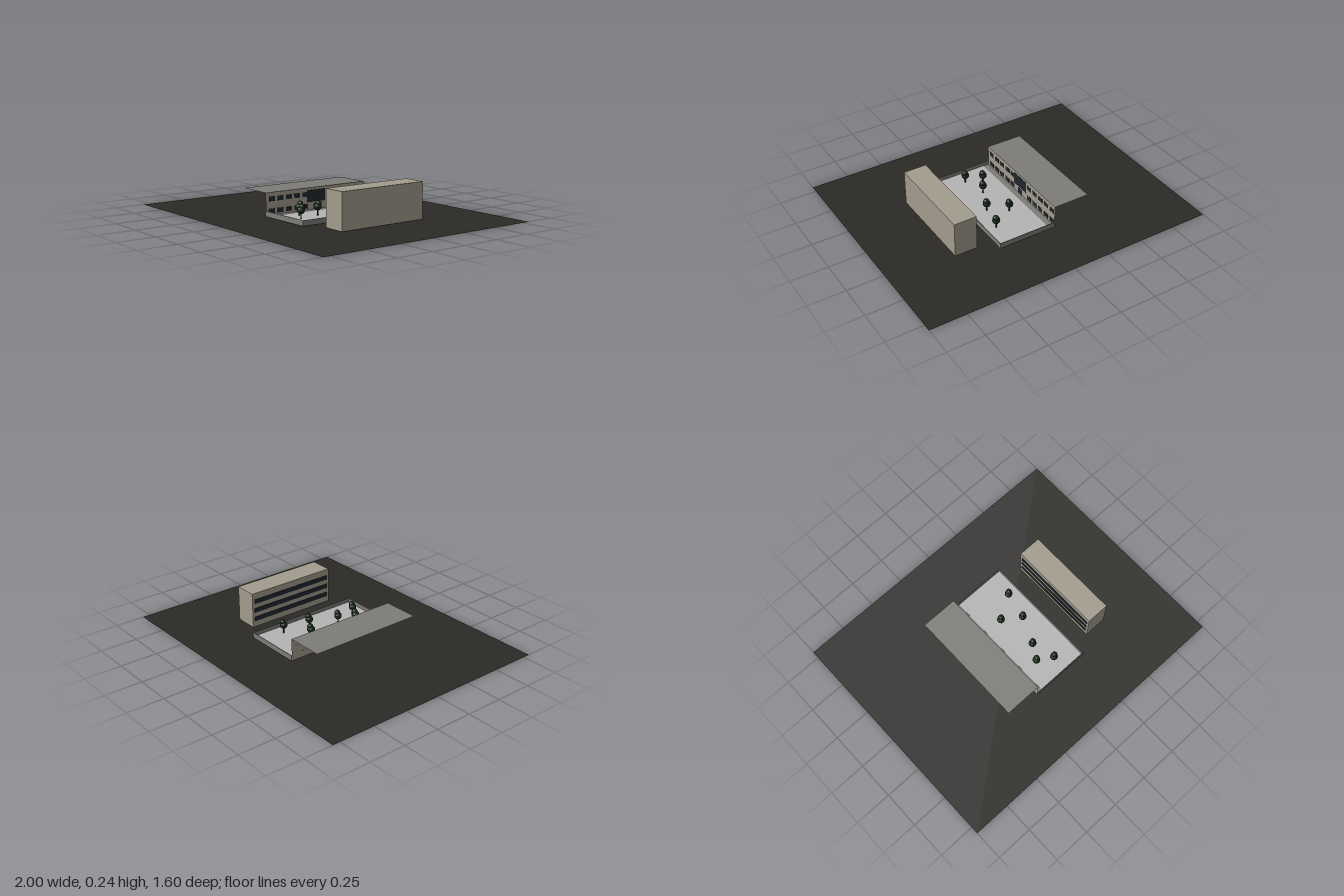
import * as THREE from 'three';

const mat = (color, extra = {}) => new THREE.MeshStandardMaterial({ color, ...extra });
const two = { side: THREE.DoubleSide };
const M = {
  ground: mat(0x2b2a26, two),
  concrete: mat(0x7d7c78, two),
  paving: mat(0xb4b4b4, two),
  stone: mat(0xa29c8c, two),
  glass: mat(0x20262e),
  trunk: mat(0x2a2119),
  leaf: mat(0x1a2b1a, { flatShading: true }),
};

function add(parent, name, geometry, material, x, y, z) {
  const m = new THREE.Mesh(geometry, material);
  m.name = name;
  m.position.set(x, y, z);
  parent.add(m);
  return m;
}

// box given by its min and max on each axis
function box(parent, name, material, [x0, x1], [y0, y1], [z0, z1]) {
  return add(parent, name, new THREE.BoxGeometry(x1 - x0, y1 - y0, z1 - z0), material,
    (x0 + x1) / 2, (y0 + y1) / 2, (z0 + z1) / 2);
}

function group(parent, name) {
  const g = new THREE.Group();
  g.name = name;
  parent.add(g);
  return g;
}

export function createModel() {
  const root = new THREE.Group();
  root.name = 'cityBlock';

  // flat ground
  add(root, 'ground', new THREE.PlaneGeometry(2, 1.6).rotateX(-Math.PI / 2), M.ground, 0, 0, 0);

  // sunken court: paving, walkway strip and low thin walls
  const court = group(root, 'court');
  box(court, 'walkway', M.concrete, [-0.12, -0.08], [0.004, 0.01], [-0.4, 0.4]);
  box(court, 'paving', M.paving, [-0.08, 0.28], [0.004, 0.012], [-0.4, 0.4]);
  for (const s of [-1, 1]) {
    const z = [s * 0.4, s * 0.404].sort((a, b) => a - b);
    box(court, 'sideWall', M.concrete, [-0.12, 0.284], [0.004, 0.04], z);
  }
  box(court, 'endWall', M.concrete, [0.28, 0.284], [0.004, 0.04], [-0.4, 0.4]);

  // thin facade with a flat roof running back from it
  const hall = group(root, 'hall');
  add(hall, 'facade', new THREE.PlaneGeometry(0.8, 0.153).rotateY(Math.PI / 2), M.stone, -0.12, 0.0785, 0);
  add(hall, 'roof', new THREE.PlaneGeometry(0.25, 0.8).rotateX(-Math.PI / 2), M.concrete, -0.245, 0.155, 0);
  for (let i = 0; i < 12; i++) {
    const z = 0.352 - i * 0.0655;
    if (Math.abs(z) < 0.08) continue;
    for (const y of [0.035, 0.113]) {
      box(hall, 'window', M.glass, [-0.12, -0.118], [y - 0.015, y + 0.015], [z - 0.0225, z + 0.0225]);
    }
  }
  box(hall, 'entranceGlazing', M.glass, [-0.12, -0.118], [0.06, 0.14], [-0.07, 0.07]);
  box(hall, 'door', M.glass, [-0.12, -0.118], [0.012, 0.05], [-0.025, 0.025]);

  // slab building with ribbon windows facing the court
  const slab = group(root, 'slabBuilding');
  box(slab, 'slabBody', M.stone, [0.4, 0.555], [0.004, 0.244], [-0.32, 0.32]);
  for (const y of [0.06, 0.122, 0.185]) {
    box(slab, 'ribbonWindow', M.glass, [0.396, 0.4], [y - 0.015, y + 0.015], [-0.305, 0.305]);
  }

  // trees
  const spots = [[0.2, -0.22], [0.04, -0.12], [0.16, -0.04], [0.08, 0.14], [0.02, 0.24], [0.12, 0.3]];
  const trunkGeo = new THREE.CylinderGeometry(0.004, 0.005, 0.045, 6);
  const lowGeo = new THREE.IcosahedronGeometry(0.026, 1);
  const highGeo = new THREE.IcosahedronGeometry(0.02, 1);
  for (const [x, z] of spots) {
    const tree = group(root, 'tree');
    tree.position.set(x, 0.012, z);
    add(tree, 'trunk', trunkGeo, M.trunk, 0, 0.0225, 0);
    add(tree, 'lowerCrown', lowGeo, M.leaf, 0, 0.056, 0);
    add(tree, 'upperCrown', highGeo, M.leaf, 0.005, 0.077, -0.003);
  }
  return root;
}
